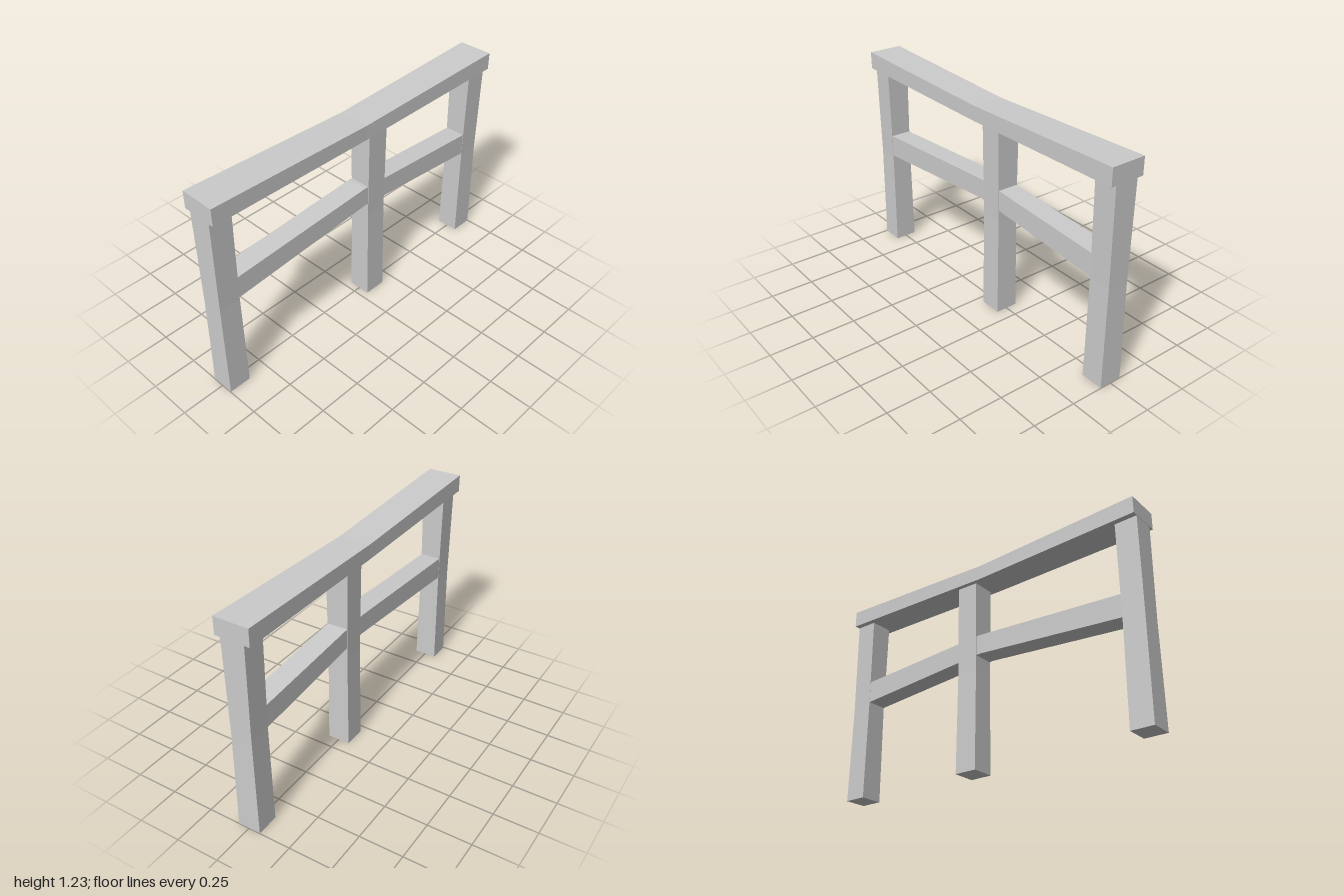
import * as THREE from 'three';

const material = new THREE.MeshStandardMaterial({ color: 0xcccccc, flatShading: true });

// Beam lofted through rectangular sections: [x0, x1, a0, a1, along].
// 'y' beams run upward (a = z); 'z' beams run front to back (a = y).
function beam(name, axis, sections) {
  const n = sections.length - 1;
  const upright = axis === 'y';
  const geo = new THREE.BoxGeometry(1, 1, 1, 1, upright ? n : 1, upright ? 1 : n);
  const p = geo.attributes.position;
  for (let i = 0; i < p.count; i++) {
    const t = upright ? p.getY(i) : p.getZ(i);
    const [x0, x1, a0, a1, along] = sections[Math.round((t + 0.5) * n)];
    const x = p.getX(i) < 0 ? x0 : x1;
    const a = (upright ? p.getZ(i) : p.getY(i)) < 0 ? a0 : a1;
    if (upright) p.setXYZ(i, x, along, a);
    else p.setXYZ(i, x, a, along);
  }
  geo.computeVertexNormals();
  const mesh = new THREE.Mesh(geo, material);
  mesh.name = name;
  return mesh;
}

// Square post with a slightly narrowed waist
function post(name, z0, z1, top) {
  return beam(name, 'y', [
    [-0.067, 0.065, z0, z1, 0],
    [-0.061, 0.06, z0 + 0.002, z1 - 0.002, 0.58],
    [-0.067, 0.067, z0, z1, top],
  ]);
}

export function createModel() {
  const group = new THREE.Group();
  group.name = 'fence';

  group.add(
    post('frontPost', 0.87, 0.998, 1.135),
    post('middlePost', -0.173, -0.043, 1.125),
    post('backPost', -0.998, -0.868, 1.135),
  );

  // Sagging top rail, narrower and thinner at its middle
  group.add(beam('topRail', 'z', [
    [-0.1, 0.098, 1.127, 1.225, -1],
    [-0.092, 0.09, 1.11, 1.195, 0],
    [-0.1, 0.098, 1.127, 1.225, 1],
  ]));

  // Middle rail rising towards its centre, ends buried in the posts
  group.add(beam('middleRail', 'z', [
    [-0.0605, 0.0595, 0.585, 0.716, -0.93],
    [-0.06, 0.059, 0.66, 0.774, -0.02],
    [-0.0605, 0.0595, 0.585, 0.716, 0.93],
  ]));

  return group;
}
